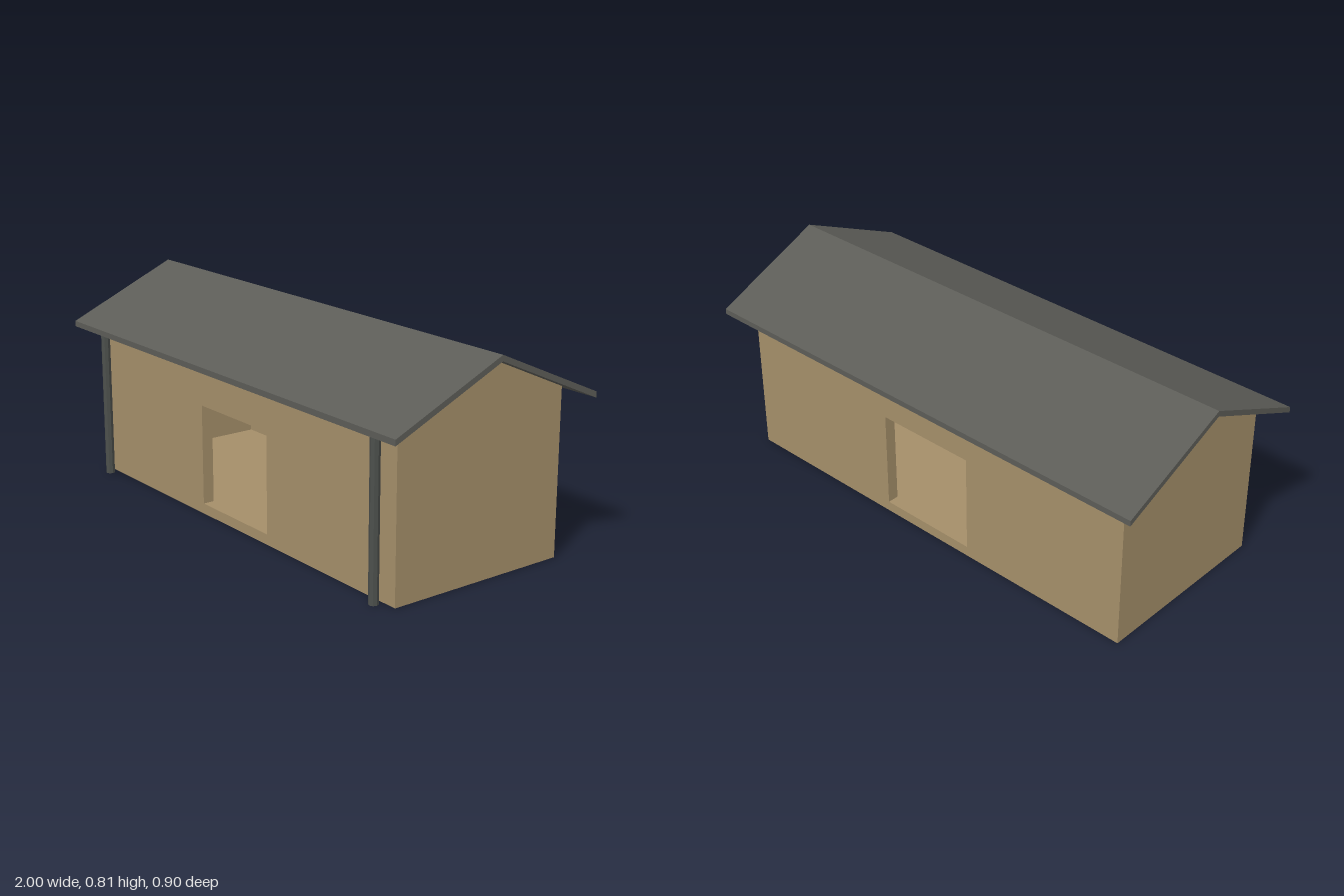
import * as THREE from 'three';

const HALF_X = 0.915, HALF_Z = 0.367, WALL = 0.045;
const PEAK = 0.79, SLOPE = 0.444, FLOOR = 0.04;
const under = (z) => PEAK - SLOPE * Math.abs(z); // underside of the roof

export function createModel() {
  const model = new THREE.Group();
  const timber = new THREE.MeshStandardMaterial({ name: 'timber', color: 0xa48e69 });
  const roofing = new THREE.MeshStandardMaterial({ name: 'roofing', color: 0x5c5c57 });
  const metal = new THREE.MeshStandardMaterial({ name: 'postMetal', color: 0x4c4f4c, flatShading: true });

  const add = (name, geometry, material, x = 0, y = 0, z = 0) => {
    const mesh = new THREE.Mesh(geometry, material);
    mesh.name = name;
    mesh.position.set(x, y, z);
    model.add(mesh);
    return mesh;
  };
  const polygon = (points) => new THREE.Shape(points.map(([a, b]) => new THREE.Vector2(a, b)));
  // Extrudes a z/y outline along x, centred on x = 0
  const alongX = (points, length) =>
    new THREE.ExtrudeGeometry(polygon(points), { depth: length, bevelEnabled: false })
      .translate(0, 0, -length / 2)
      .rotateY(Math.PI / 2);

  // Floor slab between the walls
  add('floor', new THREE.BoxGeometry(2 * (HALF_X - WALL), FLOOR, 2 * (HALF_Z - WALL)), timber, 0, FLOOR / 2, 0);

  // Gable end walls, reaching the roof
  const gable = [[-HALF_Z, 0], [HALF_Z, 0], [HALF_Z, under(HALF_Z)], [0, PEAK], [-HALF_Z, under(HALF_Z)]];
  for (const side of [1, -1]) {
    add(side > 0 ? 'leftGableWall' : 'rightGableWall', alongX(gable, WALL), timber, side * (HALF_X - WALL / 2));
  }

  // Long walls, each with a square opening, stopping just short of the roof
  const inner = HALF_X - WALL, top = 0.597;
  const wall = polygon([[-inner, 0], [inner, 0], [inner, top], [-inner, top]]);
  wall.holes.push(polygon([[-0.205, FLOOR], [-0.205, 0.427], [0.205, 0.427], [0.205, FLOOR]]));
  const wallGeometry = new THREE.ExtrudeGeometry(wall, { depth: WALL, bevelEnabled: false });
  add('frontWall', wallGeometry, timber, 0, 0, HALF_Z - WALL);
  add('backWall', wallGeometry, timber, 0, 0, -HALF_Z);

  // Pitched roof with plumb-cut eaves
  const eave = 0.448, t = 0.022;
  add('roof', alongX([
    [-eave, under(eave)], [0, PEAK], [eave, under(eave)],
    [eave, under(eave) + t], [0, PEAK + t], [-eave, under(eave) + t],
  ], 2), roofing);

  // Slim posts under the front eave
  const postHeight = 0.617;
  for (const side of [1, -1]) {
    add(side > 0 ? 'leftPost' : 'rightPost',
      new THREE.CylinderGeometry(0.018, 0.018, postHeight, 8), metal, side * 0.845, postHeight / 2, 0.4);
  }
  return model;
}
